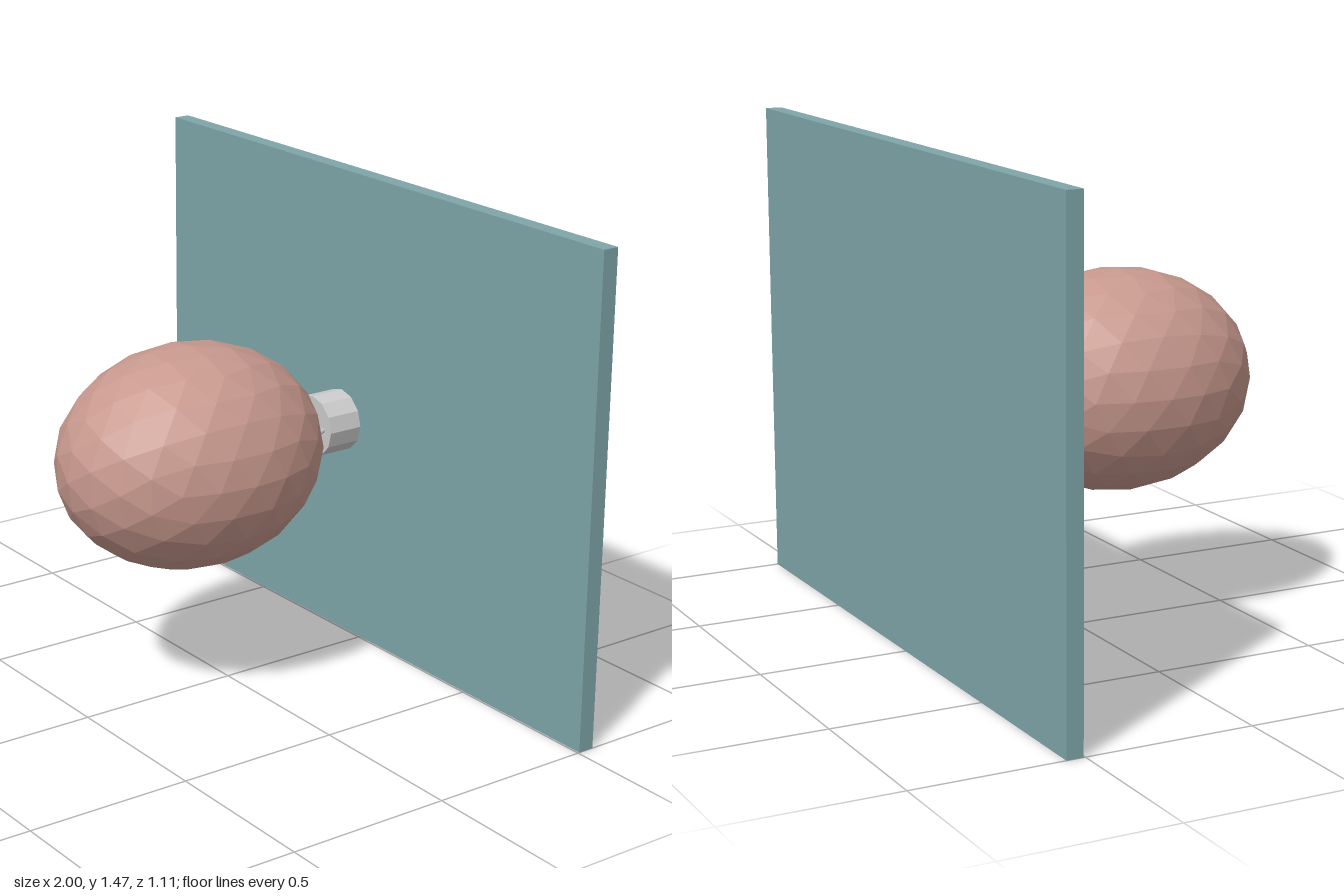
import * as THREE from 'three';

const BODY_Y = 0.735;

function material(color) {
  return new THREE.MeshStandardMaterial({ color, flatShading: true });
}

function addMesh(parent, name, geometry, mat) {
  const mesh = new THREE.Mesh(geometry, mat);
  mesh.name = name;
  parent.add(mesh);
  return mesh;
}

// Icosphere made by halving every edge and pushing the midpoints out, repeatedly.
function icosphere(levels) {
  let geometry = new THREE.IcosahedronGeometry(1, 0);
  for (let i = 0; i < levels; i++) {
    const positions = Array.from(geometry.attributes.position.array);
    const indices = Array.from({ length: positions.length / 3 }, (_, k) => k);
    geometry = new THREE.PolyhedronGeometry(positions, indices, 1, 1);
  }
  return geometry;
}

// Thin rod between two points.
function rod(from, to, radius) {
  return new THREE.TubeGeometry(new THREE.LineCurve3(from, to), 1, radius, 8);
}

export function createModel() {
  const model = new THREE.Group();
  model.name = 'model';
  const grey = material(0xcccccc);

  // Upright back panel
  const panel = addMesh(model, 'backPanel', new THREE.BoxGeometry(2, 1.466, 0.05), material(0x7ea5a8));
  panel.position.set(0, 0.733, -0.53);

  // Faceted balloon, stretched front to back
  const balloonGeometry = icosphere(2);
  balloonGeometry.scale(0.33, 0.33, 0.416);
  balloonGeometry.computeVertexNormals();
  const balloon = addMesh(model, 'balloon', balloonGeometry, material(0xc8998e));
  balloon.position.set(0, BODY_Y, 0.135);

  // Twelve-sided basket behind the balloon
  const basketGeometry = new THREE.CylinderGeometry(0.093, 0.093, 0.11, 12);
  basketGeometry.rotateX(Math.PI / 2);
  const basket = addMesh(model, 'basket', basketGeometry, grey);
  basket.position.set(0, BODY_Y, -0.363);

  // Pair of ropes joining the basket to the balloon
  for (const side of [-1, 1]) {
    const from = new THREE.Vector3(side * 0.052, BODY_Y, -0.315);
    const to = new THREE.Vector3(side * 0.082, BODY_Y, -0.25);
    addMesh(model, side > 0 ? 'leftRope' : 'rightRope', rod(from, to, 0.007), grey);
  }

  return model;
}
